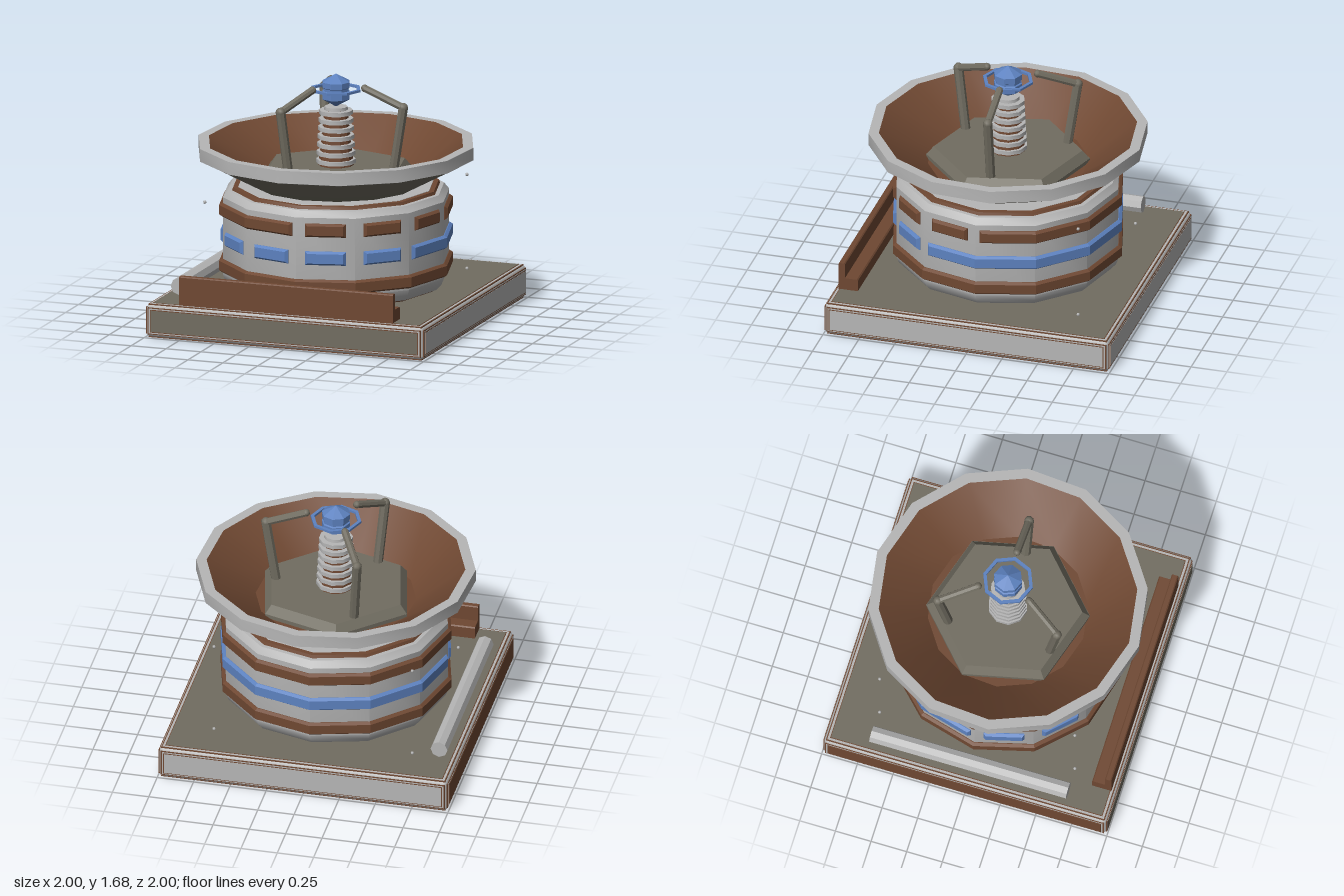
import * as THREE from 'three';
import { toCreasedNormals } from 'three/addons/utils/BufferGeometryUtils.js';
import { RoundedBoxGeometry } from 'three/addons/geometries/RoundedBoxGeometry.js';
import { ConvexGeometry } from 'three/addons/geometries/ConvexGeometry.js';

const RAD = Math.PI / 180;

function material(name, color) {
  const m = new THREE.MeshStandardMaterial({ color });
  m.name = name;
  return m;
}

export function createModel() {
  const model = new THREE.Group();
  model.name = 'dishTurret';
  const grey = material('light grey', 0xb6b6b6);
  const taupe = material('taupe', 0x716d61);
  const brown = material('rust brown', 0x6f4832);
  const blue = material('blue', 0x5d82c0);

  function add(name, geometry, mat, parent = model) {
    const mesh = new THREE.Mesh(geometry, mat);
    mesh.name = name;
    parent.add(mesh);
    return mesh;
  }

  // Turned part from [radius, height] points, smooth around and sharp at profile corners
  function turned(name, points, sides, mat, start = 0, crease = 0.6) {
    const g = new THREE.LatheGeometry(points.map(p => new THREE.Vector2(...p)), sides, start);
    return add(name, toCreasedNormals(g, crease), mat);
  }

  // Straight rod between two points
  function rod(name, a, b, radius, sides, mat, parent) {
    const dir = b.clone().sub(a);
    const g = new THREE.CylinderGeometry(radius, radius, dir.length(), sides);
    const mesh = add(name, toCreasedNormals(g, 0.7), mat, parent);
    mesh.position.copy(a).addScaledVector(dir, 0.5);
    mesh.quaternion.setFromUnitVectors(new THREE.Vector3(0, 1, 0), dir.normalize());
    return mesh;
  }

  // Base slab with layered panels on the sides and the top
  const baseH = 0.225, midY = 0.117;
  add('baseSlab', new RoundedBoxGeometry(1.986, baseH, 1.986, 1, 0.028), grey).position.y = midY;
  function panel(name, turn, mat) {
    const side = new THREE.Group();
    side.name = name;
    side.rotation.y = turn;
    [[1.955, 0.185, brown], [1.938, 0.172, grey], [1.92, 0.157, brown], [1.908, 0.146, mat]].forEach(([w, h, m], i) => {
      add(name + 'Layer', new THREE.BoxGeometry(w, h, 0.008), m, side).position.set(0, midY, 0.9908 + i * 0.0017);
    });
    model.add(side);
  }
  panel('frontPanel', 0, taupe);
  panel('leftPanel', Math.PI / 2, grey);
  panel('backPanel', Math.PI, grey);
  panel('rightPanel', -Math.PI / 2, brown);
  [[1.955, brown], [1.94, grey], [1.91, brown], [1.9, taupe]].forEach(([w, m], i) => {
    add('deckLayer', new THREE.BoxGeometry(w, 0.008, w), m).position.y = 0.2275 + i * 0.0017;
  });
  add('underTrim', new THREE.BoxGeometry(1.955, 0.006, 1.955), brown).position.y = 0.005;
  add('underPanel', new THREE.BoxGeometry(1.94, 0.006, 1.94), grey).position.y = 0.003;

  // Twelve-sided drum
  turned('drumFoot', [[0.69, 0.23], [0.7, 0.255]], 12, brown);
  turned('drum', [[0.68, 0.25], [0.72, 0.25], [0.755, 0.29], [0.77, 0.33], [0.77, 0.86],
    [0.735, 0.903], [0.68, 0.907]], 12, grey);
  turned('drumCollar', [[0.71, 0.9], [0.7, 0.925], [0.66, 0.925]], 12, brown);
  turned('drumTop', [[0.67, 0.915], [0.665, 0.928], [0, 0.928]], 12, grey);

  // Band of chamfered blocks, one per drum face; dashed blocks have gaps at their ends
  function band(name, y, half, dashes, mat) {
    const group = new THREE.Group();
    group.name = name;
    for (let i = 0; i < 12; i++) {
      const mid = i * 30 + 15, dashed = dashes.includes(i);
      const gap0 = dashed ? 4.5 : dashes.includes((i + 11) % 12) ? 2 : 0;
      const gap1 = dashed ? 4.5 : dashes.includes((i + 1) % 12) ? 2 : 0;
      const points = [];
      for (const [r, h, inset] of [[0.745, half, 0], [0.775, half, 0], [0.795, half - 0.014, 1.5]]) {
        const ends = [mid - 15 + gap0 + (gap0 ? inset : 0), mid + 15 - gap1 - (gap1 ? inset : 0)];
        for (const a of ends) {
          const rr = r * Math.cos(15 * RAD) / Math.cos((a - mid) * RAD);
          for (const s of [-1, 1]) {
            points.push(new THREE.Vector3(rr * Math.cos(a * RAD), y + s * h, rr * Math.sin(a * RAD)));
          }
        }
      }
      add(name + 'Block', new ConvexGeometry(points), mat, group);
    }
    model.add(group);
  }
  band('upperBand', 0.775, 0.046, [0, 1, 2], brown);
  band('middleBand', 0.583, 0.047, [1, 2, 3, 4, 5], blue);
  band('lowerBand', 0.39, 0.046, [], brown);

  // Fourteen-sided dish: underside, rim and bowl
  const dishTurn = -4 * RAD;
  turned('dishUnderside', [[0, 0.929], [0.56, 0.929], [0.925, 1.123]], 14, taupe, dishTurn);
  turned('dishRim', [[0.925, 1.123], [0.94, 1.128], [0.94, 1.215], [0.87, 1.215]], 14, grey, dishTurn);
  turned('dishBowl', [[0.87, 1.215], [0.54, 0.97], [0, 0.97]], 14, brown, dishTurn);

  // Six-sided plate in the bowl
  const plate = new THREE.CylinderGeometry(0.5, 0.55, 0.06, 6, 1, false, 13 * RAD);
  add('hubPlate', toCreasedNormals(plate, 0.3), taupe).position.y = 1.025;
  const plateFoot = new THREE.CylinderGeometry(0.55, 0.55, 0.035, 6, 1, false, 13 * RAD);
  add('hubPlateFoot', toCreasedNormals(plateFoot, 0.3), taupe).position.y = 0.98;

  // Insulator stack
  turned('insulatorCore', [[0.12, 1.05], [0.075, 1.455], [0, 1.455]], 10, brown);
  for (let i = 0; i < 7; i++) {
    const r = 0.133 - i * 0.003, y = 1.07 + i * 0.056;
    turned('insulatorRing', [[0.07, y], [r, y], [r, y + 0.028], [0.07, y + 0.028]], 10, grey, 0, 0.7);
  }
  turned('insulatorCap', [[0.08, 1.435], [0.078, 1.457], [0, 1.457]], 10, grey, 0, 0.7);

  // Emitter with its ring
  turned('emitter', [[0, 1.455], [0.098, 1.512], [0.098, 1.56], [0.088, 1.566], [0.088, 1.584],
    [0.098, 1.59], [0.098, 1.628], [0, 1.682]], 8, blue, 0, 0.3);
  turned('emitterRing', [[0.15, 1.567], [0.174, 1.567], [0.174, 1.583], [0.15, 1.583], [0.15, 1.567]], 8, blue, 0, 0.3);

  // Three bent arms around the emitter
  for (let i = 0; i < 3; i++) {
    const arm = new THREE.Group();
    arm.name = 'arm';
    arm.rotation.y = i * 120 * RAD;
    const foot = new THREE.Vector3(0.413, 1.05, 0);
    const elbow = new THREE.Vector3(0.482, 1.485, 0);
    const tip = new THREE.Vector3(0.205, 1.597, 0);
    rod('armPost', foot, elbow, 0.033, 8, taupe, arm);
    rod('armReach', elbow, tip, 0.026, 8, taupe, arm);
    add('armElbow', new THREE.SphereGeometry(0.034, 8, 6), taupe, arm).position.copy(elbow);
    add('armTip', new THREE.SphereGeometry(0.026, 8, 6), taupe, arm).position.copy(tip);
    model.add(arm);
  }

  // Stepped bench along the front
  const step = new THREE.Shape([[0.825, 0.232], [0.96, 0.232], [0.96, 0.425], [0.953, 0.432], [0.922, 0.432],
    [0.915, 0.425], [0.915, 0.322], [0.833, 0.322], [0.825, 0.314]].map(p => new THREE.Vector2(...p)));
  const bench = new THREE.ExtrudeGeometry(step, { depth: 1.53, bevelEnabled: false });
  bench.rotateY(-Math.PI / 2).translate(0.765, 0, 0);
  add('frontBench', bench, brown);

  // Pipe along the right side
  const pipe = new THREE.CylinderGeometry(0.058, 0.058, 1.38, 8);
  pipe.rotateX(Math.PI / 2).translate(-0.868, 0.295, 0);
  add('sidePipe', toCreasedNormals(pipe, 0.5), grey);

  // Small studs at three corners
  for (const [x, z] of [[-0.685, -0.69], [0.68, -0.69], [-0.685, 0.68]]) {
    for (const y of [0.242, 0.89]) {
      add('stud', new THREE.SphereGeometry(0.012, 6, 4), grey).position.set(x, y, z);
    }
  }

  return model;
}
